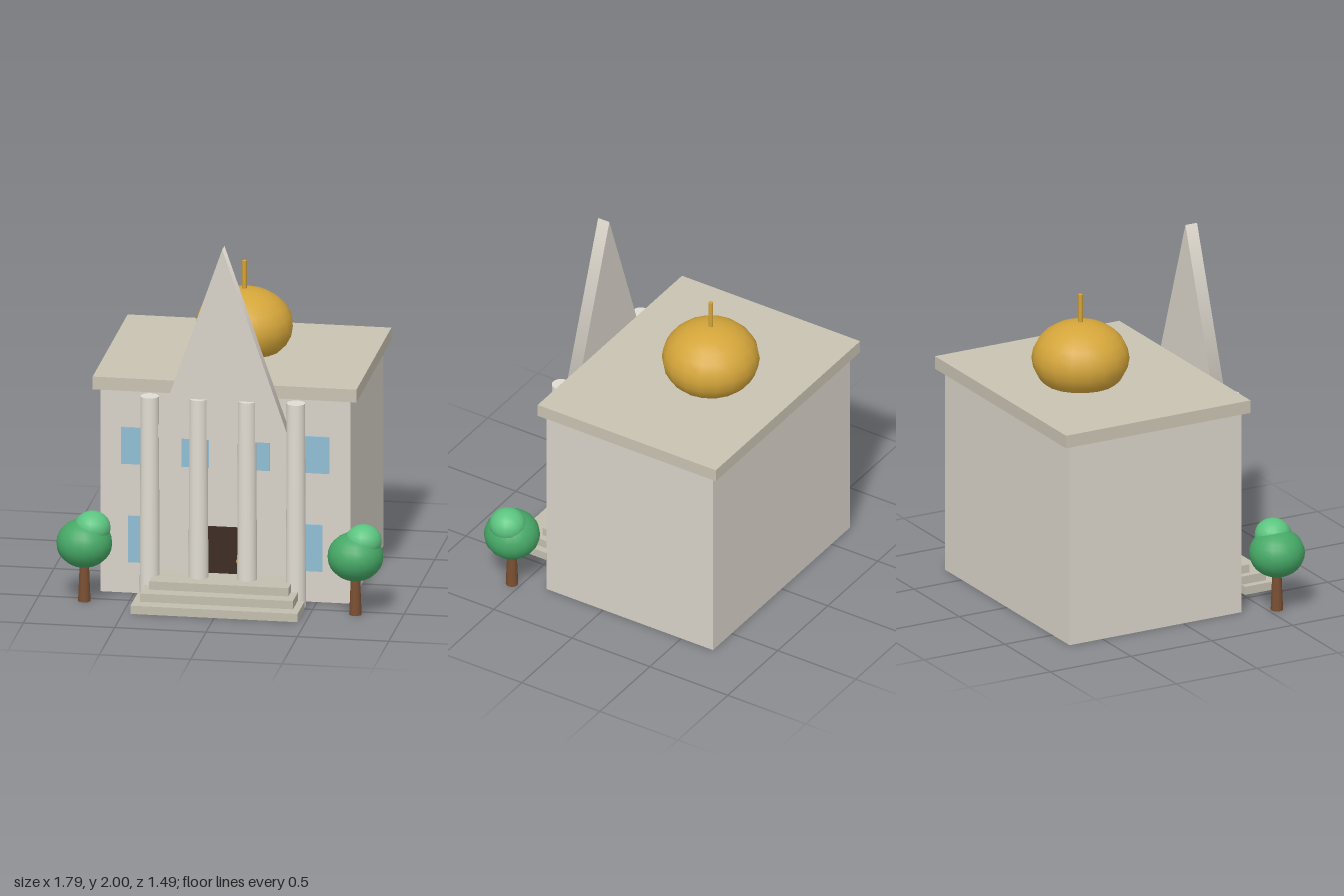
import * as THREE from 'three';

const mat = (color) => new THREE.MeshStandardMaterial({ color });

export function createModel() {
  const model = new THREE.Group();
  const stone = mat(0xd8d2c8), trim = mat(0xc9c2b2), columnStone = mat(0xe0dcd2), stepStone = mat(0xc2beae);
  const gold = mat(0xd4a53a), glass = mat(0x8fbdd3), doorWood = mat(0x3d2b24);
  const bark = mat(0x7a4f32), leaf = mat(0x46a866), leafLight = mat(0x5cc480);

  const add = (name, geometry, material, x, y, z, parent = model) => {
    const mesh = new THREE.Mesh(geometry, material);
    mesh.name = name;
    mesh.position.set(x, y, z);
    parent.add(mesh);
    return mesh;
  };
  // Box given by its width, its bottom and top, and its back and front
  const block = (name, material, x, w, y0, y1, z0, z1) =>
    add(name, new THREE.BoxGeometry(w, y1 - y0, z1 - z0), material, x, (y0 + y1) / 2, (z0 + z1) / 2);

  // Main hall and flat roof
  block('hall', stone, 0, 1.37, 0, 1.15, -0.703, 0.363);
  block('roof', trim, 0, 1.444, 1.15, 1.222, -0.745, 0.397);

  // Flattened dome with finial
  add('dome', new THREE.SphereGeometry(0.265, 18, 12), gold, 0, 1.355, -0.25).scale.y = 0.78;
  add('finial', new THREE.CylinderGeometry(0.013, 0.013, 0.18, 8), gold, 0, 1.627, -0.25);

  // Tall triangular pediment: a three-sided prism narrowed in x
  const prism = new THREE.CylinderGeometry(0.72, 0.72, 0.072, 3);
  prism.rotateX(-Math.PI / 2);
  add('pediment', prism, stone, 0, 1.28, 0.436).scale.x = 0.6;

  // Columns
  for (const x of [-0.4, -0.133, 0.133, 0.4]) {
    add('column', new THREE.CylinderGeometry(0.05, 0.055, 1.147, 16), columnStone, x, 0.5735, 0.454);
  }

  // Entrance steps, each one narrower and further back
  for (let i = 0; i < 3; i++) {
    const front = 0.742 - i * 0.079;
    block('step', stepStone, 0, 0.914 - i * 0.076, i * 0.0465, (i + 1) * 0.0465, front - 0.23, front);
  }

  // Door and knob
  block('door', doorWood, 0, 0.22, 0, 0.4, 0.35, 0.378);
  add('doorKnob', new THREE.SphereGeometry(0.013, 10, 8), gold, 0.073, 0.213, 0.383);

  // Windows in two rows
  for (const x of [-0.495, -0.165, 0.165, 0.495]) block('upperWindow', glass, x, 0.15, 0.73, 0.937, 0.35, 0.374);
  for (const x of [-0.45, 0.45]) block('lowerWindow', glass, x, 0.163, 0.175, 0.438, 0.35, 0.374);

  // Trees beside the entrance
  for (const x of [-0.742, 0.742]) {
    const tree = new THREE.Group();
    tree.name = 'tree';
    tree.position.set(x, 0, 0.549);
    add('trunk', new THREE.CylinderGeometry(0.024, 0.034, 0.24, 10), bark, 0, 0.12, 0, tree);
    add('crown', new THREE.SphereGeometry(0.152, 18, 14), leaf, 0, 0.328, 0, tree).scale.y = 0.88;
    add('upperCrown', new THREE.SphereGeometry(0.1, 16, 12), leafLight, 0.044, 0.418, 0, tree).scale.y = 0.9;
    model.add(tree);
  }
  return model;
}
